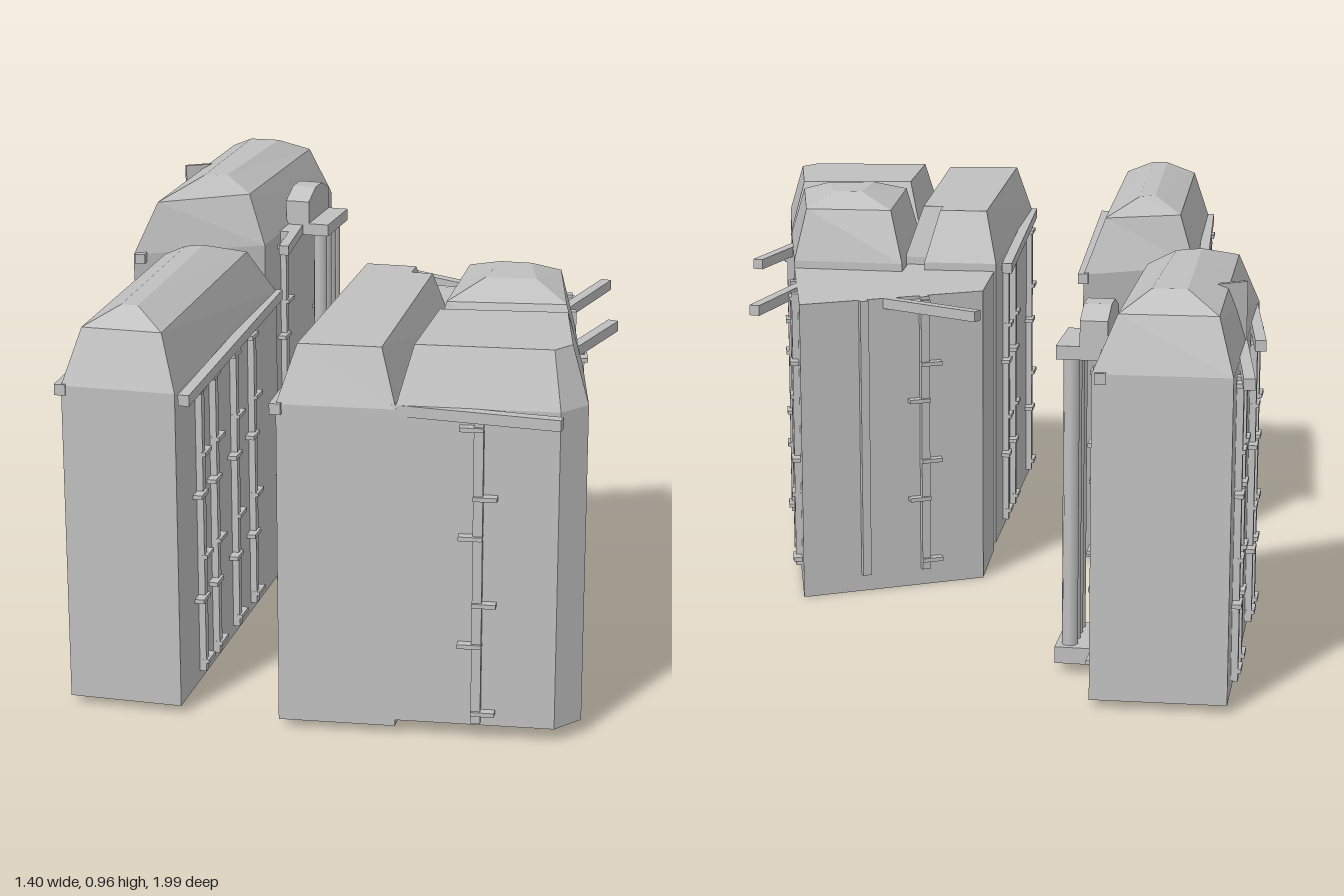
import * as THREE from 'three';

const stone = new THREE.MeshStandardMaterial({ color: 0xc0c0c0, side: THREE.DoubleSide });
stone.name = 'pale grey';

// Flat-faced shell through rings of equal length: walls, roof slopes and a top cap, open below
function shell(rings) {
  const pos = [];
  const tri = (...ps) => ps.forEach((p) => pos.push(...p));
  const pts = rings.map(([ring, y]) => ring.map(([x, z]) => [x, y, z]));
  for (let r = 0; r + 1 < pts.length; r++) {
    const lo = pts[r], hi = pts[r + 1], n = lo.length;
    for (let i = 0; i < n; i++) {
      const j = (i + 1) % n;
      tri(lo[i], hi[i], hi[j]);
      tri(lo[i], hi[j], lo[j]);
    }
  }
  const top = pts[pts.length - 1];
  const flat = top.map((p) => new THREE.Vector2(p[0], p[2]));
  for (const [a, b, c] of THREE.ShapeUtils.triangulateShape(flat, [])) {
    const u = flat[b].clone().sub(flat[a]), v = flat[c].clone().sub(flat[a]);
    if (u.cross(v) > 0) tri(top[a], top[c], top[b]);
    else tri(top[a], top[b], top[c]);
  }
  const g = new THREE.BufferGeometry();
  g.setAttribute('position', new THREE.Float32BufferAttribute(pos, 3));
  g.computeVertexNormals();
  return g;
}

function add(parent, name, geometry, x = 0, y = 0, z = 0, ry = 0) {
  const m = new THREE.Mesh(geometry, stone);
  m.name = name;
  m.position.set(x, y, z);
  m.rotation.y = ry;
  parent.add(m);
  return m;
}

// Horizontal gutter bar between two plan points
function gutter(parent, [x1, z1], [x2, z2], y = 0.776) {
  const len = Math.hypot(x2 - x1, z2 - z1);
  add(parent, 'gutter', new THREE.BoxGeometry(len, 0.026, 0.026),
    (x1 + x2) / 2, y, (z1 + z2) / 2, -Math.atan2(z2 - z1, x2 - x1));
}

// Upright pipe with staple brackets on the wall from p to q, a fraction t along
function pipe(parent, [p, q], t, brackets = true, top = 0.77) {
  const dx = q[0] - p[0], dz = q[1] - p[1], len = Math.hypot(dx, dz);
  const g = new THREE.Group();
  g.name = 'drainpipe';
  g.position.set(p[0] + dx * t + (dz / len) * 0.008, 0, p[1] + dz * t - (dx / len) * 0.008);
  g.rotation.y = -Math.atan2(dz, dx);
  add(g, 'pipe', new THREE.BoxGeometry(0.022, top - 0.045, 0.016), 0, (top + 0.045) / 2, 0);
  if (brackets) [0.07, 0.235, 0.335, 0.495, 0.59, 0.752].forEach((y, i) => {
    add(g, 'bracket', new THREE.BoxGeometry(0.055, 0.01, 0.022), i % 2 ? 0.016 : -0.016, y, -0.004);
  });
  parent.add(g);
}

// Plan outlines run clockwise seen from above, starting at the back left
const buildings = {
  rearHouse: [
    [[[-0.64, -0.985], [-0.325, -0.98], [-0.36, -0.35], [-0.675, -0.18]], [0.02, 0.785]],
    [[[-0.605, -0.945], [-0.38, -0.945], [-0.41, -0.385], [-0.625, -0.245]], [0.915]],
    [[[-0.53, -0.86], [-0.45, -0.86], [-0.48, -0.42], [-0.54, -0.39]], [0.957]],
  ],
  sideHouse: [
    [[[-0.495, 0.23], [-0.215, 0.09], [-0.23, 0.96], [-0.5, 0.955]], [0.02, 0.785]],
    [[[-0.455, 0.26], [-0.263, 0.195], [-0.27, 0.92], [-0.46, 0.915]], [0.915]],
    [[[-0.385, 0.32], [-0.345, 0.3], [-0.345, 0.85], [-0.385, 0.85]], [0.955]],
  ],
  flatRoofWing: [
    [[[0.03, -0.045], [0.465, -0.26], [0.56, 0.185], [0.27, 0.175], [0.27, 0.27], [0.215, 0.27],
      [0.215, 0.2], [0.03, 0.2]], [0, 0.765]],
  ],
  longWing: [
    [[[0.025, 0.2], [0.215, 0.2], [0.215, 0.27], [0.275, 0.27], [0.28, 0.96], [0.01, 0.98]], [0.02, 0.785]],
    [[[0.055, 0.245], [0.178, 0.245], [0.178, 0.3], [0.23, 0.3], [0.24, 0.925], [0.05, 0.938]], [0.917]],
  ],
  middleWing: [
    [[[0.27, 0.17], [0.56, 0.185], [0.635, 0.548], [0.28, 0.58]], [0.015, 0.785]],
    [[[0.305, 0.21], [0.53, 0.21], [0.59, 0.51], [0.312, 0.545]], [0.92]],
    [[[0.395, 0.29], [0.47, 0.29], [0.503, 0.425], [0.385, 0.44]], [0.955]],
  ],
  frontWing: [
    [[[0.28, 0.583], [0.635, 0.55], [0.697, 0.865], [0.645, 0.932], [0.28, 0.96]], [0.035, 0.795]],
    [[[0.312, 0.625], [0.605, 0.59], [0.655, 0.84], [0.622, 0.89], [0.312, 0.915]], [0.925]],
  ],
};

// Gutters as plan segments, with an optional height
const gutters = {
  rearHouse: [[[-0.675, -1], [-0.645, -0.615]], [[-0.69, -0.625], [-0.655, -0.17]],
    [[-0.345, -0.99], [-0.34, -0.49]], [[-0.325, -0.62], [-0.305, -0.34]]],
  sideHouse: [[[-0.515, 0.225], [-0.502, 0.96]], [[-0.215, 0.08], [-0.205, 0.975]]],
  flatRoofWing: [[[0.015, -0.28], [0.48, -0.04], 0.752], [[0.575, -0.28], [0.46, 0.2], 0.752]],
  longWing: [[[-0.005, 0.19], [0.01, 0.99]]],
  middleWing: [[[0.655, 0.17], [0.55, 0.56]]],
  frontWing: [[[0.27, 0.945], [0.655, 0.975], 0.782]],
};

// Drainpipes: wall index and fractions along that wall
const pipes = {
  rearHouse: [[3, [0.21, 0.335, 0.735, 0.865]], [1, [0.245, 0.76]]],
  sideHouse: [[3, [0.15, 0.35, 0.54, 0.75]], [1, [0.3, 0.48, 0.68, 0.81]]],
  flatRoofWing: [[0, [0.33, 0.66]], [1, [0.31, 0.65]]],
  longWing: [[5, [0.16, 0.62, 0.81]]],
  middleWing: [[1, [0.48]]],
  frontWing: [[3, [0.49]]],
};

// Bundle of flues on a plinth, with a coping and a gabled hood
function flueStack() {
  const g = new THREE.Group();
  g.name = 'flueStack';
  add(g, 'plinth', new THREE.BoxGeometry(0.12, 0.04, 0.19), 0, 0.045, 0);
  add(g, 'coping', new THREE.BoxGeometry(0.12, 0.032, 0.19), 0, 0.778, 0);
  for (let i = 0; i < 4; i++) {
    add(g, 'flue', new THREE.CylinderGeometry(0.019, 0.019, 0.71, 8), 0.028, 0.415, -0.063 + i * 0.042);
  }
  const s = new THREE.Shape([[-0.095, 0.79], [0.095, 0.79], [0.095, 0.855], [0.03, 0.882], [-0.03, 0.882],
    [-0.095, 0.855]].map(([a, b]) => new THREE.Vector2(a, b)));
  const hood = new THREE.ExtrudeGeometry(s, { depth: 0.065, bevelEnabled: false });
  add(g, 'hood', hood, -0.06, 0, 0, Math.PI / 2);
  g.position.set(-0.29, 0, -0.662);
  g.rotation.y = -0.06;
  return g;
}

export function createModel() {
  const model = new THREE.Group();
  model.name = 'houseCluster';
  for (const [name, levels] of Object.entries(buildings)) {
    const house = new THREE.Group();
    house.name = name;
    const rings = levels.flatMap(([ring, ys]) => ys.map((y) => [ring, y]));
    add(house, 'walls', shell(rings.slice(0, 2)));
    if (rings.length > 2) add(house, 'roof', shell(rings.slice(1)));
    const plan = levels[0][0];
    gutters[name].forEach(([a, b, y]) => gutter(house, a, b, y));
    for (const [i, ts] of pipes[name]) {
      const wall = [plan[i], plan[(i + 1) % plan.length]];
      ts.forEach((t, k) => pipe(house, wall, t, !(name === 'flatRoofWing' && k === 1), 0.765));
    }
    model.add(house);
  }
  const rear = model.getObjectByName('rearHouse');
  rear.add(flueStack());
  // Thin fin breaking through the rear roof slope
  add(rear, 'roofFin', new THREE.BoxGeometry(0.16, 0.16, 0.012), -0.585, 0.852, -0.658, 0.53).scale.set(1, 0.95, 1);
  return model;
}
